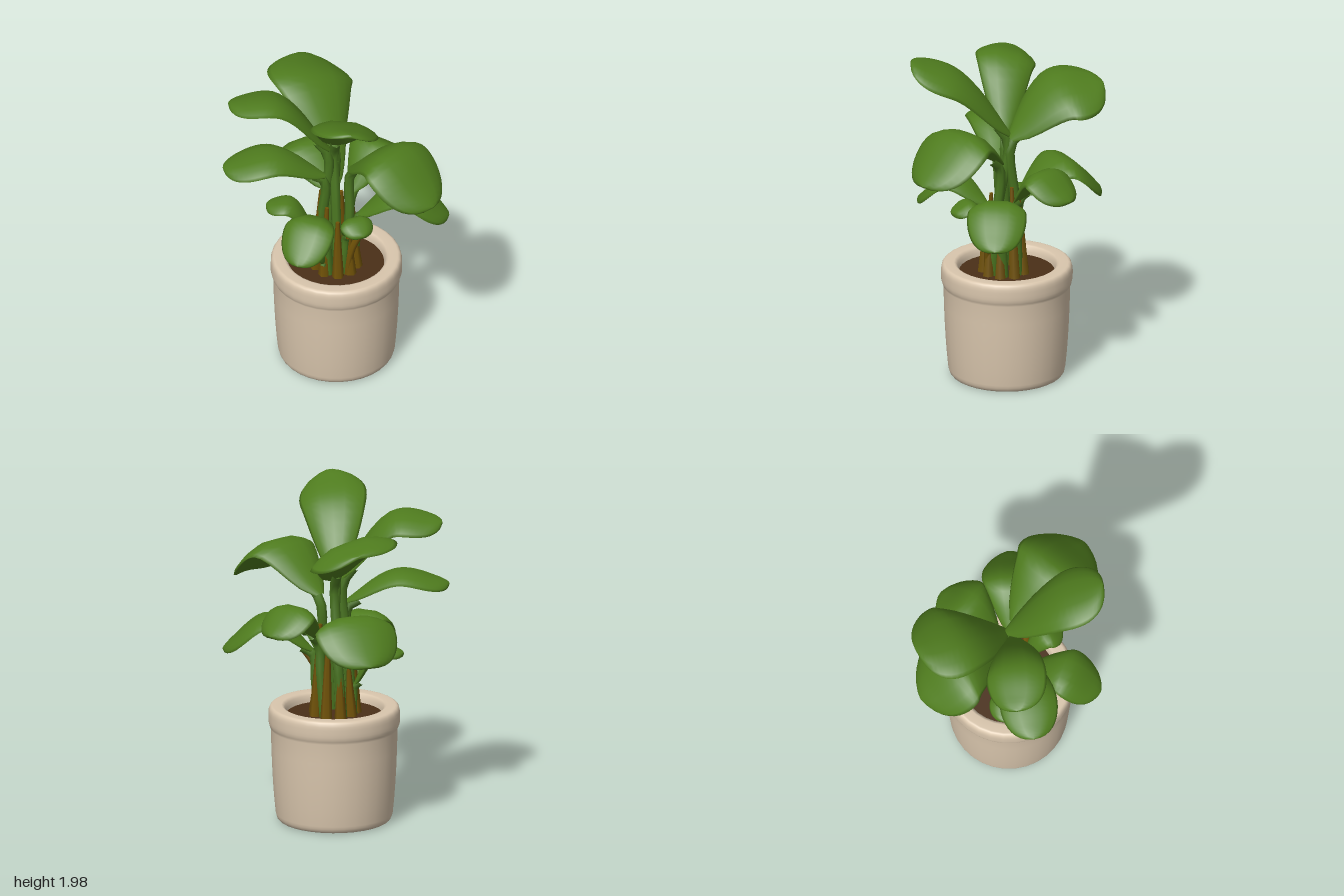
import * as THREE from 'three';

const mat = (name, color) => {
  const m = new THREE.MeshStandardMaterial({ color });
  m.name = name;
  return m;
};

// Leaf centre line: from neck to tip, arched upward in the middle
function midrib(neck, tip, rise) {
  const middle = neck.clone().lerp(tip, 0.5);
  middle.y += rise;
  return new THREE.CatmullRomCurve3([neck, middle, tip]);
}

// Thick, drooping, blunt-tipped leaf swept along its midrib; roll > 0 lifts the leaf's own left edge
function leafGeometry(curve, dir, width, roll) {
  const rows = 18, ring = 16, pos = [], idx = [];
  const side = new THREE.Vector3(dir.z, 0, -dir.x);
  for (let i = 0; i <= rows; i++) {
    const t = 1 - Math.pow(1 - i / rows, 1.6);
    const c = curve.getPoint(t), T = curve.getTangent(t);
    const S = side.clone().applyAxisAngle(T, roll);
    const N = T.clone().cross(S).normalize();
    const shape = Math.pow(0.02 + 0.98 * t, 0.62) * Math.sqrt(1 - t * t * t) / 0.655;
    const h = 0.022 * Math.min(1, 0.3 + shape);
    for (let j = 0; j < ring; j++) {
      const a = j / ring * Math.PI * 2, s = Math.cos(a);
      const crease = 0.008 * shape * Math.exp(-s * s * 30);
      const lift = Math.sin(a) * h - 0.12 * width * shape * s * s - crease;
      const p = c.clone().addScaledVector(S, s * shape * width / 2).addScaledVector(N, lift);
      pos.push(p.x, p.y, p.z);
    }
  }
  for (let i = 0; i < rows; i++) {
    for (let j = 0; j < ring; j++) {
      const a = i * ring + j, b = i * ring + (j + 1) % ring;
      idx.push(a, b, a + ring, b, b + ring, a + ring);
    }
  }
  const g = new THREE.BufferGeometry();
  g.setAttribute('position', new THREE.Float32BufferAttribute(pos, 3));
  g.setIndex(idx);
  g.computeVertexNormals();
  return g;
}

export function createModel() {
  const root = new THREE.Group();
  root.name = 'pottedPlant';
  const clay = mat('paleClay', 0xd9c6ad);
  const earth = mat('darkSoil', 0x4a2f18);
  const leafGreen = mat('leafGreen', 0x4f7c1e);
  const stemGreen = mat('stemGreen', 0x497420);
  const stalkBrown = mat('stalkBrown', 0x705207);

  const group = (name) => {
    const g = new THREE.Group();
    g.name = name;
    root.add(g);
    return g;
  };
  const add = (parent, name, geometry, material) => {
    const m = new THREE.Mesh(geometry, material);
    m.name = name;
    parent.add(m);
    return m;
  };

  // Pot with a rolled rim
  const pot = group('pot');
  pot.position.set(-0.08, 0, -0.035);
  const wall = new THREE.Path();
  wall.moveTo(0, 0.005);
  wall.lineTo(0.31, 0.005);
  wall.quadraticCurveTo(0.338, 0.005, 0.344, 0.05);
  wall.quadraticCurveTo(0.366, 0.25, 0.372, 0.56);
  wall.bezierCurveTo(0.388, 0.59, 0.387, 0.6, 0.387, 0.65);
  wall.quadraticCurveTo(0.387, 0.7, 0.36, 0.7);
  wall.lineTo(0.31, 0.7);
  wall.quadraticCurveTo(0.28, 0.7, 0.278, 0.6);
  add(pot, 'potBody', new THREE.LatheGeometry(wall.getPoints(5), 32), clay);
  const soil = add(pot, 'soil', new THREE.CircleGeometry(0.285, 32), earth);
  soil.rotation.x = -Math.PI / 2;
  soil.position.y = 0.645;

  // Leaves: name, neck x y z, tip x y z, rise, width, roll
  const foliage = group('foliage');
  const addLeaf = (name, nx, ny, nz, tx, ty, tz, rise, width, roll = 0) => {
    const neck = new THREE.Vector3(nx, ny, nz), tip = new THREE.Vector3(tx, ty, tz);
    const rib = midrib(neck, tip, rise);
    const dir = tip.clone().sub(neck).setY(0).normalize();
    add(foliage, name, leafGeometry(rib, dir, width, roll), leafGreen);
    // Stem rises from the soil and ends just under the midrib
    const foot = new THREE.Vector3(-0.08 + 0.1 * dir.x, 0.63, -0.02 + 0.1 * dir.z);
    const knee = foot.clone().lerp(neck, 0.55);
    const end = rib.getPoint(0.12);
    end.y -= 0.04;
    const stem = new THREE.CatmullRomCurve3([foot, knee, neck.clone().lerp(foot, 0.06), end]);
    const radius = 0.012 + 0.018 * Math.min(1, width / 0.33);
    add(foliage, name + 'Stem', new THREE.TubeGeometry(stem, 12, radius, 7), stemGreen);
  };
  addLeaf('tallFrontLeaf', -0.1, 1.5, -0.04, 0.27, 1.97, 0.41, 0.12, 0.4, -0.18);
  addLeaf('tallSideLeaf', -0.11, 1.48, 0, -0.62, 1.82, 0.3, 0.19, 0.36, 0.2);
  addLeaf('tallBackLeaf', -0.09, 1.48, -0.05, -0.53, 1.76, -0.42, 0.14, 0.54, 0.28);
  addLeaf('upperLeftLeaf', 0.01, 1.36, -0.05, 0.64, 1.38, 0.09, 0.25, 0.5);
  addLeaf('middleFrontLeaf', -0.11, 1.32, 0.05, -0.6, 1.42, 0.4, 0.12, 0.34);
  addLeaf('lowerBackRightLeaf', -0.13, 1.12, -0.09, -0.57, 1.08, -0.36, 0.21, 0.5);
  addLeaf('lowerBackLeaf', -0.03, 1.12, -0.13, 0.02, 1.21, -0.54, 0.18, 0.35);
  addLeaf('lowerBackLeftLeaf', 0.05, 1.02, -0.07, 0.51, 1.01, -0.33, 0.2, 0.35);
  addLeaf('lowerFrontLeaf', -0.08, 1.03, 0.1, -0.02, 1, 0.54, 0.16, 0.31);
  addLeaf('smallRightLeaf', -0.18, 0.82, 0.03, -0.46, 1.03, 0.13, 0.13, 0.2);
  addLeaf('smallLeftLeaf', 0.02, 0.92, 0.03, 0.21, 1.05, 0.16, 0.12, 0.2);
  addLeaf('sproutLeaf', -0.08, 0.74, 0.12, -0.08, 0.91, 0.21, 0, 0.07);

  // Dry sheaths clustered around the foot of the stems
  const sheaths = group('drySheaths');
  for (let i = 0; i < 9; i++) {
    const a = i / 9 * Math.PI * 2 + 0.3;
    const h = 0.3 + 0.09 * ((i * 5) % 4);
    const s = add(sheaths, 'drySheath', new THREE.CylinderGeometry(0.012, 0.036, h, 6), stalkBrown);
    s.position.set(-0.07 + 0.11 * Math.cos(a), 0.63 + h / 2, -0.02 + 0.11 * Math.sin(a));
    s.rotation.set(-0.06 * Math.sin(a), 0, 0.06 * Math.cos(a));
  }
  const bend = new THREE.QuadraticBezierCurve3(
    new THREE.Vector3(0.03, 0.64, 0.03), new THREE.Vector3(0.03, 0.86, 0.02), new THREE.Vector3(0.14, 1, -0.03));
  add(sheaths, 'bentStalk', new THREE.TubeGeometry(bend, 8, 0.022, 6), stalkBrown);

  return root;
}
